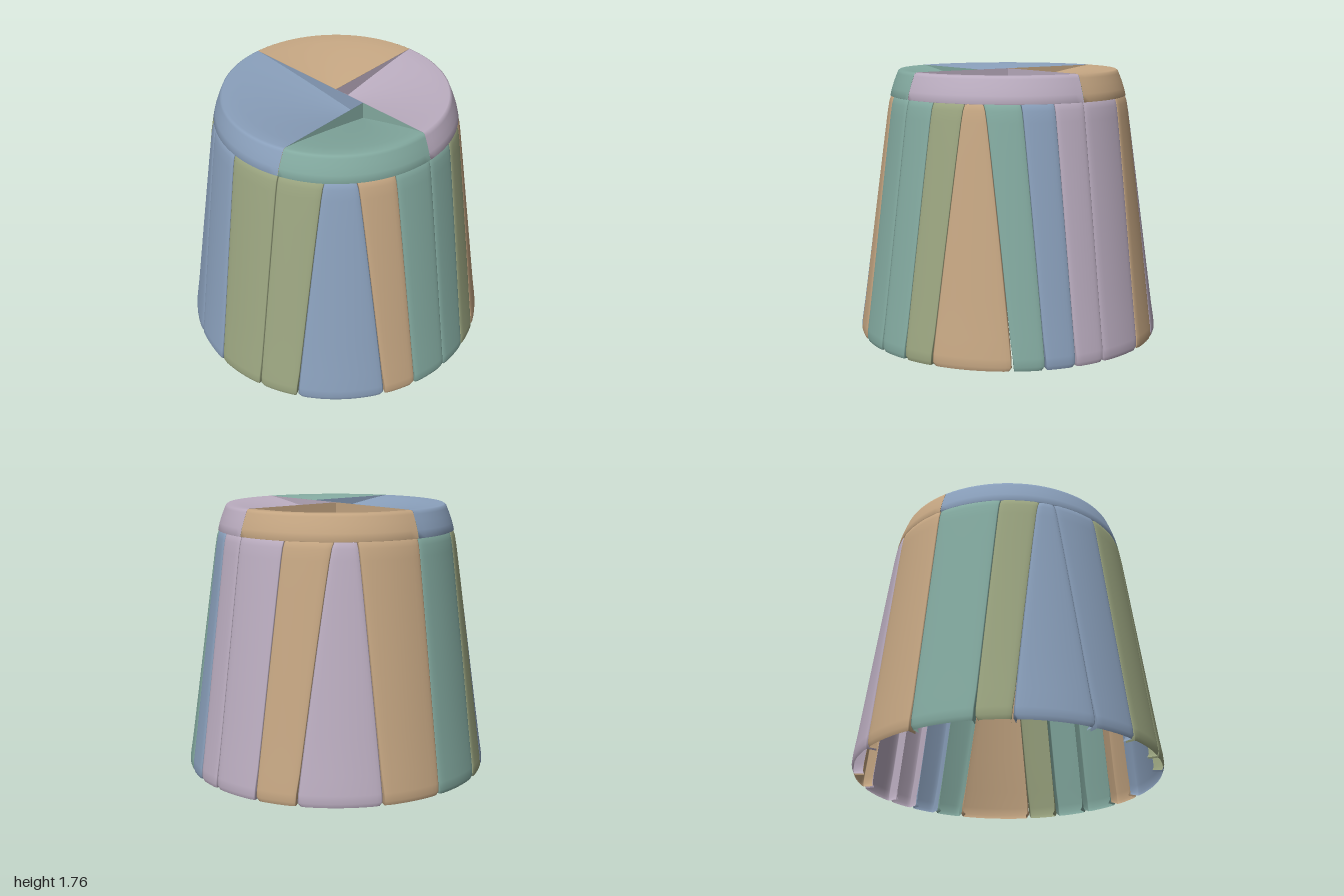
import * as THREE from 'three';

const flat = (name, color) => {
  const m = new THREE.MeshStandardMaterial({ color, side: THREE.DoubleSide });
  m.name = name;
  return m;
};

// Smooth grid surface; fn(i, j) returns [x, y, z] for column i of nu and row j of nv
function surface(nu, nv, fn) {
  const pos = [], idx = [];
  for (let j = 0; j <= nv; j++)
    for (let i = 0; i <= nu; i++) pos.push(...fn(i, j));
  for (let j = 0; j < nv; j++)
    for (let i = 0; i < nu; i++) {
      const a = j * (nu + 1) + i, b = a + 1, c = a + nu + 1, d = c + 1;
      idx.push(a, b, c, b, d, c);
    }
  const g = new THREE.BufferGeometry();
  g.setAttribute('position', new THREE.Float32BufferAttribute(pos, 3));
  g.setIndex(idx);
  g.computeVertexNormals();
  return g;
}

// Seams lie in upright planes; this gives the seam's angle at radius r (0 = front, turning to +x)
function seamAngle([side, c], r) {
  switch (side) {
    case 'front': return Math.asin(c / r);
    case 'right': return Math.acos(c / r);
    case 'back': return Math.PI - Math.asin(c / r);
    case 'left': return 2 * Math.PI - Math.acos(c / r);
    default: return 2 * Math.PI + Math.asin(c / r); // front again, on the -x half
  }
}

export function createModel() {
  const group = new THREE.Group();
  const teal = flat('teal', 0x84aba1);
  const green = flat('green', 0x9ca681);
  const tan = flat('tan', 0xc6a783);
  const blue = flat('blue', 0x8ba1bd);
  const lavender = flat('lavender', 0xbcaec1);
  const add = (name, geometry, material) => {
    const m = new THREE.Mesh(geometry, material);
    m.name = name;
    group.add(m);
  };

  // Side panels: starting seam and colour, in order round the body
  const panels = [
    ['front', 0, teal], ['front', 0.23, green], ['front', 0.43, tan],
    ['right', 0.57, teal], ['right', 0.395, blue], ['right', 0.205, lavender],
    ['right', 0, lavender], ['right', -0.335, tan], ['right', -0.58, lavender],
    ['back', 0.4, tan], ['back', 0, teal], ['back', -0.4, green],
    ['back', -0.59, blue], ['left', -0.42, blue], ['left', -0.12, green],
    ['left', 0.23, green], ['left', 0.48, blue],
    ['end', -0.47, tan], ['end', -0.26, teal], ['end', 0],
  ];
  const sideProfile = [
    [0.988, 0.004], [0.997, 0.03], [0.993, 0.08], [0.974, 0.2], [0.942, 0.43], [0.905, 0.7],
    [0.865, 0.99], [0.825, 1.28], [0.797, 1.48], [0.785, 1.55], [0.772, 1.59], [0.758, 1.6],
  ];
  const FOLD = 0.06, COLS = 14;
  for (let k = 0; k < panels.length - 1; k++) {
    const geo = surface(COLS, sideProfile.length - 1, (i, j) => {
      const [r, y] = sideProfile[j];
      // seams open very slightly towards the hem
      const gap = 0.001 + 0.005 * Math.max(0, 1 - y / 0.22) + (j === 0 ? 0.01 : 0);
      const a = seamAngle(panels[k], r) + gap, b = seamAngle(panels[k + 1], r) - gap;
      // first and last columns fold inward along the seam
      const folded = i === 0 || i === COLS;
      const t = THREE.MathUtils.clamp((i - 1) / (COLS - 2), 0, 1);
      const w = 0.5 - 0.5 * Math.cos(Math.PI * t);
      const edge = Math.min(w, 1 - w) * (b - a) * r;
      const rr = r - 0.006 * Math.max(0, 1 - edge / 0.025) ** 2 - (folded ? FOLD : 0);
      const th = a + (b - a) * w;
      return [rr * Math.sin(th), y, rr * Math.cos(th)];
    });
    add('sidePanel' + (k + 1), geo, panels[k][2]);
  }

  // Seat sections: each dips from the rim to an inner corner, with upright walls along its seams
  const TOP = 1.76, DIP = 0.11, RIM = 0.71, GAP = 0.001;
  const sections = [
    ['FrontLeft', ['front', 0], ['right', 0], [GAP, GAP], lavender],
    ['BackLeft', ['right', 0], ['back', 0], [GAP, -GAP], tan],
    ['BackRight', ['back', 0], ['left', 0.23], [-GAP, 0.23 - GAP], blue],
    ['FrontRight', ['left', 0.23], ['end', 0], [-GAP, 0.23 + GAP], teal],
  ];
  const rimProfile = [
    [0.76, 1.585], [0.777, 1.592], [0.765, 1.64], [0.748, 1.69], [0.73, 1.735], [0.723, 1.752], [RIM, TOP],
  ];
  const rimRows = rimProfile.length - 1, dipRows = 8;
  for (const [name, from, to, [ax, az], mat] of sections) {
    const rimPoint = (u, r) => {
      const a = seamAngle(from, r) + GAP, b = seamAngle(to, r) - GAP;
      const th = a + (b - a) * u;
      return [r * Math.sin(th), r * Math.cos(th)];
    };
    const inner = (u, s) => {
      const [x, z] = rimPoint(u, RIM);
      return [ax + (x - ax) * s, TOP - DIP * (1 - s) ** 1.2, az + (z - az) * s];
    };
    add('seat' + name, surface(24, rimRows + dipRows, (i, j) => {
      if (j > rimRows) return inner(i / 24, 1 - (j - rimRows) / dipRows);
      const [r, y] = rimProfile[j];
      const [x, z] = rimPoint(i / 24, r);
      return [x, y, z];
    }), mat);
    // walls face into the section
    for (const u of [0, 1])
      add('seatWall' + name, surface(8, 1, (i, j) => {
        const p = inner(u, u ? 1 - i / 8 : i / 8);
        if (j) p[1] = TOP;
        return p;
      }), mat);
  }
  return group;
}
